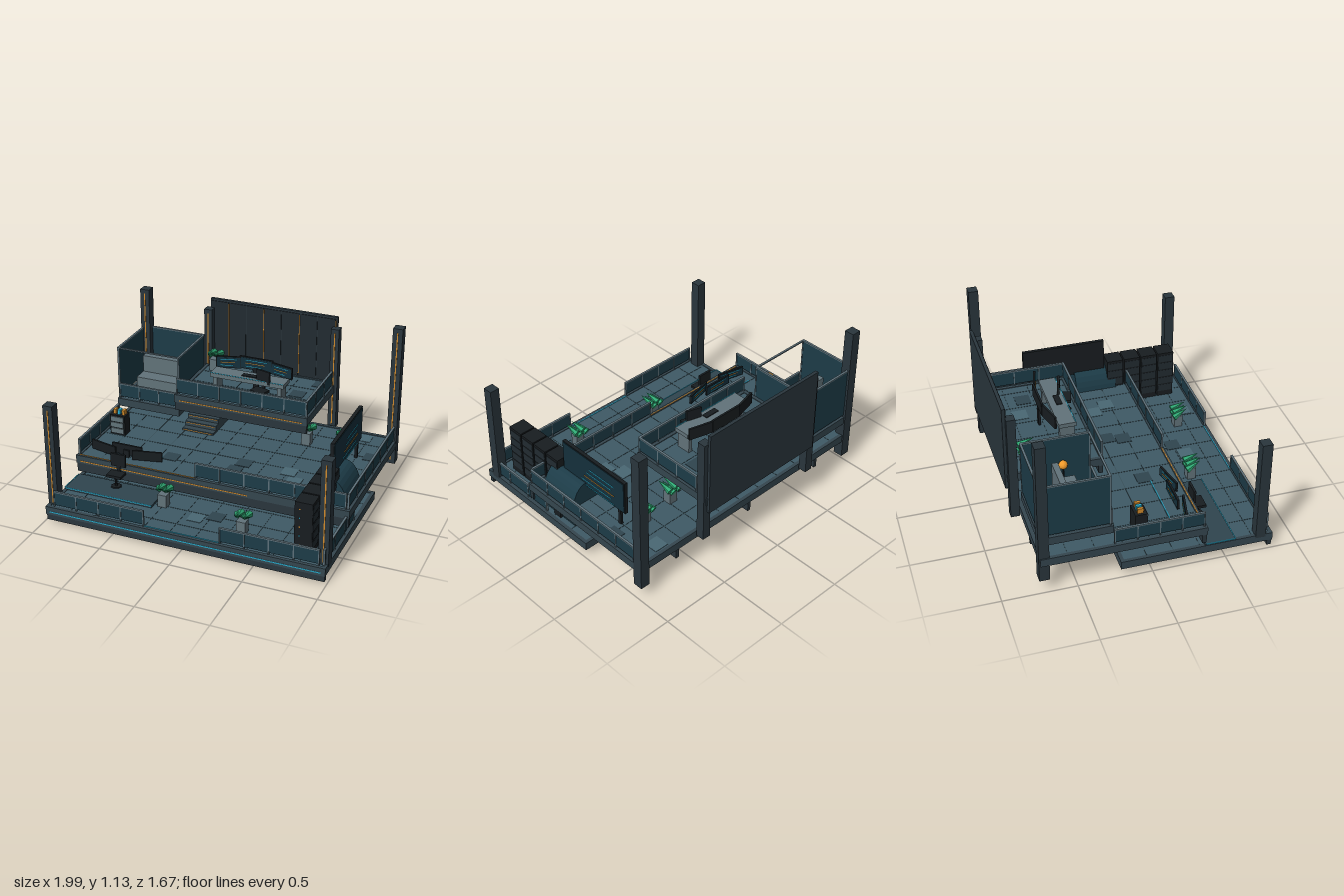
import * as THREE from 'three';

const C = {
  floor: 0x3f5a66, tileDark: 0x30454f, tileLight: 0x4a6874, seam: 0x33484f, hull: 0x2a363d, under: 0x2b373e, panel: 0x222b31,
  trim: 0x35464f, black: 0x181d20, glass: 0x1d3c48, rail: 0x5d7079, grey: 0x62737a,
  screen: 0x14303c, cyan: 0x2bb3d6, orange: 0xd08a2c, leaf: 0x2fa873, lamp: 0xf09a2a
};
const mats = {};
const mat = c => (mats[c] ??= new THREE.MeshStandardMaterial({ color: C[c], flatShading: true }));

export function createModel() {
  const root = new THREE.Group();
  const add = (parent, name, geo, color, x = 0, y = 0, z = 0) => {
    const m = new THREE.Mesh(geo, mat(color));
    m.name = name;
    m.position.set(x, y, z);
    parent.add(m);
    return m;
  };
  // box given by its limits
  const box = (name, c, x0, x1, y0, y1, z0, z1, parent = root) =>
    add(parent, name, new THREE.BoxGeometry(x1 - x0, y1 - y0, z1 - z0), c, (x0 + x1) / 2, (y0 + y1) / 2, (z0 + z1) / 2);
  const group = (name, x, y, z, turn = 0) => {
    const g = new THREE.Group();
    g.name = name;
    g.position.set(x, y, z);
    g.rotation.y = turn;
    root.add(g);
    return g;
  };

  // deck: thin slab with rim, tall front fascia, floor seams and beams below
  function deck(name, x0, x1, z0, z1, bottom, top, beams) {
    const low = top - 0.058, y = top - 0.005;
    box(name + 'Slab', 'under', x0 + 0.02, x1 - 0.02, low + 0.004, top - 0.02, z0 + 0.02, z1 - 0.02);
    box(name + 'Floor', 'floor', x0 + 0.02, x1 - 0.02, top - 0.02, y, z0 + 0.02, z1 - 0.02);
    for (const [a, b] of [[z0, z0 + 0.025], [z1 - 0.025, z1]]) box(name + 'Rim', 'trim', x0, x1, low, top, a, b);
    for (const [a, b] of [[x0, x0 + 0.025], [x1 - 0.025, x1]]) box(name + 'Rim', 'trim', a, b, low, top, z0, z1);
    box(name + 'Fascia', 'hull', x0 + 0.005, x1 - 0.005, bottom, low, z1 - 0.035, z1 - 0.005);
    const s = 0.0015;
    for (let x = x0 + 0.18; x < x1 - 0.05; x += 0.18) box(name + 'Seam', 'seam', x - s, x + s, y, y + 0.002, z0 + 0.03, z1 - 0.03);
    for (let z = z0 + 0.18; z < z1 - 0.05; z += 0.18) box(name + 'Seam', 'seam', x0 + 0.03, x1 - 0.03, y, y + 0.002, z - s, z + s);
    for (const x of beams) box(name + 'Beam', 'hull', x - 0.012, x + 0.012, bottom - 0.015, low + 0.006, z0 + 0.01, z1 - 0.04);
  }
  deck('lowerDeck', -0.99, 0.99, -0.21, 0.83, 0.02, 0.12, [-0.66, 0, 0.66]);
  deck('middleDeck', -1, 0.99, -0.74, 0.37, 0.155, 0.28, [-0.66, 0, 0.66]);
  deck('upperDeck', -0.5, 0.495, -0.82, -0.18, 0.475, 0.595, [0, 0.4]);
  deck('loungeDeck', -0.99, -0.5, -0.74, -0.26, 0.38, 0.44, []);
  box('frontLightLine', 'cyan', -0.96, 0.96, 0.08, 0.088, 0.825, 0.832);
  box('middleLightLine', 'orange', -0.97, 0.28, 0.235, 0.242, 0.36, 0.372);
  box('middleEdgeLine', 'orange', -0.98, -0.1, 0.279, 0.283, 0.35, 0.356);
  box('upperLightLine', 'orange', -0.46, 0.46, 0.55, 0.556, -0.185, -0.177);
  box('upperFloorLine', 'orange', -0.44, -0.25, 0.59, 0.597, -0.78, -0.774);
  box('floorLightLine', 'cyan', -0.27, 0.27, 0.12, 0.124, 0.8, 0.806);

  // scattered floor tiles
  const tiles = [[0.12, 0.02, 0], [0.45, 0.02, 1], [-0.38, 0.13, 0], [0.09, 0.13, 0], [0.9, -0.39, 0], [0.77, -0.65, 1], [0.52, 0.13, 1]];
  const lowTiles = [[0.12, 0.51, 0], [0, 0.57, 1], [0.51, 0.72, 1]];
  const upTiles = [[0.13, -0.59, 1], [0.4, -0.74, 0], [0.3, -0.53, 0]];
  for (const [list, y] of [[tiles, 0.275], [lowTiles, 0.115], [upTiles, 0.59]])
    for (const [x, z, light] of list) box('floorTile', light ? 'tileLight' : 'tileDark', x - 0.052, x + 0.052, y, y + 0.003, z - 0.052, z + 0.052);

  // glass railing between two floor points
  function railing(name, x0, z0, x1, z1, y, h = 0.115, span = 0.17) {
    const L = Math.hypot(x1 - x0, z1 - z0);
    const g = group(name, x0, y, z0, Math.atan2(z0 - z1, x1 - x0));
    box('railGlass', 'glass', 0, L, 0.012, h - 0.006, -0.004, 0.004, g);
    box('railTop', 'rail', 0, L, h - 0.009, h, -0.008, 0.008, g);
    const n = Math.max(1, Math.round(L / span));
    for (let i = 0; i <= n; i++) box('railPost', 'rail', i * L / n - 0.004, i * L / n + 0.004, 0, h, -0.007, 0.007, g);
  }
  railing('lowerFrontRailing', -0.93, 0.81, -0.27, 0.81, 0.125);
  railing('lowerFrontRailing', 0.27, 0.81, 0.94, 0.81, 0.125);
  railing('lowerSideRailing', 0.97, 0.8, 0.97, 0.21, 0.125);
  railing('middleFrontRailing', -0.1, 0.355, 0.96, 0.355, 0.285);
  railing('middleSideRailing', 0.975, 0.35, 0.975, -0.67, 0.285);
  railing('middleSideRailing', -0.98, 0.35, -0.98, -0.25, 0.285);
  railing('upperFrontRailing', -0.48, -0.19, 0.485, -0.19, 0.6, 0.12);
  railing('upperSideRailing', 0.485, -0.19, 0.485, -0.72, 0.6, 0.12);
  railing('loungeFrontRailing', -0.97, -0.27, -0.51, -0.27, 0.445);
  railing('loungeLeftWall', -0.98, -0.28, -0.98, -0.73, 0.445, 0.39, 1);
  railing('loungeBackWall', -0.98, -0.73, -0.51, -0.73, 0.445, 0.39, 1);
  railing('loungeInnerWall', -0.51, -0.28, -0.51, -0.73, 0.445, 0.39, 1);
  box('loungeFrontBar', 'rail', -0.98, -0.51, 0.826, 0.835, -0.288, -0.274);

  // pillars with a light strip on the front
  function pillar(x, z, y0, y1, w) {
    const r = w / 2;
    box('pillar', 'hull', x - r, x + r, y0, y1, z - r, z + r);
    box('pillarLight', 'orange', x - 0.004, x + 0.004, y0 + 0.03, y1 - 0.03, z + r, z + r + 0.003);
  }
  for (const s of [-1, 1]) {
    pillar(s * 0.957, -0.715, 0.1, 1.135, 0.07);
    pillar(s * 0.957, 0.745, 0.1, 0.85, 0.07);
    pillar(s * 0.485, -0.785, 0.26, 1.025, 0.06);
  }

  // back wall with panels and light seams
  box('backWall', 'hull', -0.485, 0.485, 0.48, 1.095, -0.835, -0.812);
  for (let i = 0; i < 7; i++) {
    const x = -0.475 + i * 0.136;
    box('wallPanel', 'panel', x, x + 0.13, 0.6, 1.08, -0.814, -0.806);
    if (i % 2 === 0) box('wallLight', 'orange', x + 0.131, x + 0.135, 0.62, 1.07, -0.814, -0.803);
  }

  // stairs rising through the middle deck to the upper deck
  for (let i = 0; i < 12; i++) {
    const z = -0.07 - i * 0.05, y = 0.16 + i * 0.033;
    box('stairStep', 'trim', -0.48, -0.24, i < 5 ? 0.125 : 0.2, y, z - 0.05, z);
    box('stairLight', 'orange', -0.47, -0.25, y - 0.012, y - 0.008, z, z + 0.002);
  }

  // work stations: desk and three curved monitors
  function screen(parent, w, x, z, turn, y, h) {
    const g = new THREE.Group();
    g.name = 'monitor';
    g.position.set(x, y, z);
    g.rotation.y = turn;
    parent.add(g);
    box('monitorCase', 'black', -w / 2, w / 2, 0, h, -0.008, 0.006, g);
    box('monitorFace', 'screen', -w / 2 + 0.006, w / 2 - 0.006, 0.006, h - 0.006, 0.005, 0.008, g);
    for (let i = 1; i < 4; i++)
      box('screenLine', i === 2 ? 'orange' : 'cyan', -w * 0.32, w * (0.1 + 0.08 * i), h * i / 4 - 0.002, h * i / 4 + 0.002, 0.008, 0.01, g);
  }
  const upper = group('upperStation', 0, 0.59, -0.36);
  box('deskTop', 'grey', -0.275, 0.275, 0.132, 0.162, -0.06, 0.06, upper);
  box('deskLight', 'cyan', -0.27, 0.27, 0.161, 0.165, 0.053, 0.058, upper);
  for (const s of [-1, 1]) box('deskLeg', 'grey', s * 0.24 - 0.015, s * 0.24 + 0.015, 0, 0.135, -0.05, 0.05, upper);
  box('tablet', 'black', -0.05, 0.06, 0.162, 0.168, -0.015, 0.025, upper);
  box('monitorStand', 'black', -0.02, 0.02, 0, 0.17, -0.135, -0.12, upper);
  screen(upper, 0.25, 0, -0.13, 0, 0.15, 0.092);
  for (const s of [-1, 1]) screen(upper, 0.18, s * 0.2, -0.105, -s * 0.26, 0.145, 0.088);

  const lower = group('lowerStation', -0.665, 0.28, 0.25, Math.PI);
  screen(lower, 0.23, 0, 0.01, 0, 0.01, 0.075);
  for (const s of [-1, 1]) screen(lower, 0.21, s * 0.165, -0.018, -s * 0.22, 0.01, 0.07);
  box('monitorStand', 'black', -0.02, 0.02, -0.01, 0.05, -0.01, 0.005, lower);
  box('stationLight', 'cyan', -0.92, -0.43, 0.276, 0.28, 0.162, 0.168);
  box('stationPlate', 'tileDark', -0.985, -0.33, 0.115, 0.13, 0.36, 0.57);
  box('plateLight', 'cyan', -0.985, -0.33, 0.126, 0.133, 0.568, 0.573);
  box('plateLight', 'cyan', -0.99, -0.985, 0.126, 0.133, 0.37, 0.57);

  function chair(x, y, z, turn) {
    const g = group('chair', x, y, z, turn);
    box('chairSeat', 'black', -0.055, 0.055, 0.085, 0.105, -0.04, 0.04, g);
    box('chairBack', 'black', -0.055, 0.055, 0.14, 0.235, -0.052, -0.036, g);
    box('chairSpine', 'black', -0.012, 0.012, 0.09, 0.15, -0.05, -0.038, g);
    add(g, 'chairStem', new THREE.CylinderGeometry(0.01, 0.01, 0.09, 8), 'black', 0, 0.045, 0);
    add(g, 'chairBase', new THREE.CylinderGeometry(0.035, 0.04, 0.012, 8), 'black', 0, 0.006, 0);
  }
  chair(0.11, 0.595, -0.275, -0.28);
  chair(-0.667, 0.125, 0.42, 0);

  // sofa, lamp and small cabinet
  box('sofaSeat', 'grey', -0.9, -0.58, 0.45, 0.565, -0.52, -0.4);
  box('sofaBack', 'grey', -0.9, -0.58, 0.45, 0.69, -0.55, -0.51);
  add(root, 'lampBulb', new THREE.SphereGeometry(0.03, 14, 10), 'lamp', -0.545, 0.635, -0.465);
  add(root, 'lampStem', new THREE.CylinderGeometry(0.006, 0.006, 0.18, 8), 'black', -0.545, 0.53, -0.465);
  box('lampFoot', 'black', -0.555, -0.535, 0.44, 0.452, -0.54, -0.385);
  box('cabinet', 'black', -0.93, -0.815, 0.28, 0.43, -0.1, -0.02);
  for (let i = 0; i < 3; i++) {
    box('cabinetDrawer', 'grey', -0.92, -0.825, 0.295 + i * 0.045, 0.33 + i * 0.045, -0.022, -0.012);
    box('cabinetBook', ['orange', 'cyan', 'orange'][i], -0.912 + i * 0.033, -0.892 + i * 0.033, 0.43, 0.465, -0.08, -0.04);
  }

  // equipment racks
  for (let i = 0; i < 4; i++) {
    const z = 0.21 + i * 0.13;
    box('rack', 'black', 0.74, 0.86, 0.12, 0.49, z, z + 0.12);
    for (let k = 0; k < 5; k++) {
      box('rackShelf', 'panel', 0.738, 0.863, 0.16 + k * 0.064, 0.215 + k * 0.064, z + 0.005, z + 0.115);
      box('rackLight', k % 2 ? 'cyan' : 'orange', 0.77, 0.778, 0.18 + k * 0.064, 0.188 + k * 0.064, z + 0.12, z + 0.122);
    }
  }

  // large display with its post, and the rounded drum beside it
  box('displayCase', 'black', 0.79, 0.815, 0.4, 0.65, -0.41, 0.197);
  box('displayFace', 'screen', 0.814, 0.819, 0.408, 0.642, -0.402, 0.19);
  for (let i = 0; i < 5; i++)
    box('displayLine', i === 2 ? 'orange' : 'cyan', 0.818, 0.822, 0.411 + i * 0.037, 0.416 + i * 0.037, -0.31 + (i % 2) * 0.03, -0.07 + (4 - i) * 0.027);
  for (const z of [-0.35, 0.13]) box('displayLeg', 'black', 0.793, 0.812, 0.28, 0.4, z - 0.012, z + 0.012);
  box('drumPost', 'black', 0.9, 0.945, 0.015, 0.225, 0.1, 0.165);
  const drum = add(root, 'drum', new THREE.CylinderGeometry(0.21, 0.21, 0.3, 28), 'glass', 0.83, 0.22, 0.12);
  drum.rotation.x = Math.PI / 2;
  drum.scale.x = 0.53;

  // potted plants with leaning leaves
  for (const [x, y, z, s] of [[-0.915, 0.44, -0.655, 0.85], [-0.4, 0.595, -0.68, 1], [0.675, 0.28, -0.44, 0.9], [0.42, 0.28, -0.41, 1], [-0.265, 0.12, 0.51, 1], [0.35, 0.12, 0.625, 1]]) {
    const g = group('plant', x, y, z);
    g.scale.setScalar(s);
    box('plantPot', 'grey', -0.032, 0.032, 0, 0.09, -0.03, 0.03, g);
    for (let i = 0; i < 4; i++) {
      const a = (i - 1.5) * 0.026;
      const leaf = add(g, 'plantLeaf', new THREE.ConeGeometry(0.027, 0.115, 6), 'leaf', a, 0.122 + (i % 2) * 0.016, 0.008 + (i % 2) * 0.008);
      leaf.rotation.set(1.15 + (i % 2) * 0.12, 0, -0.12 + a);
    }
  }
  return root;
}
